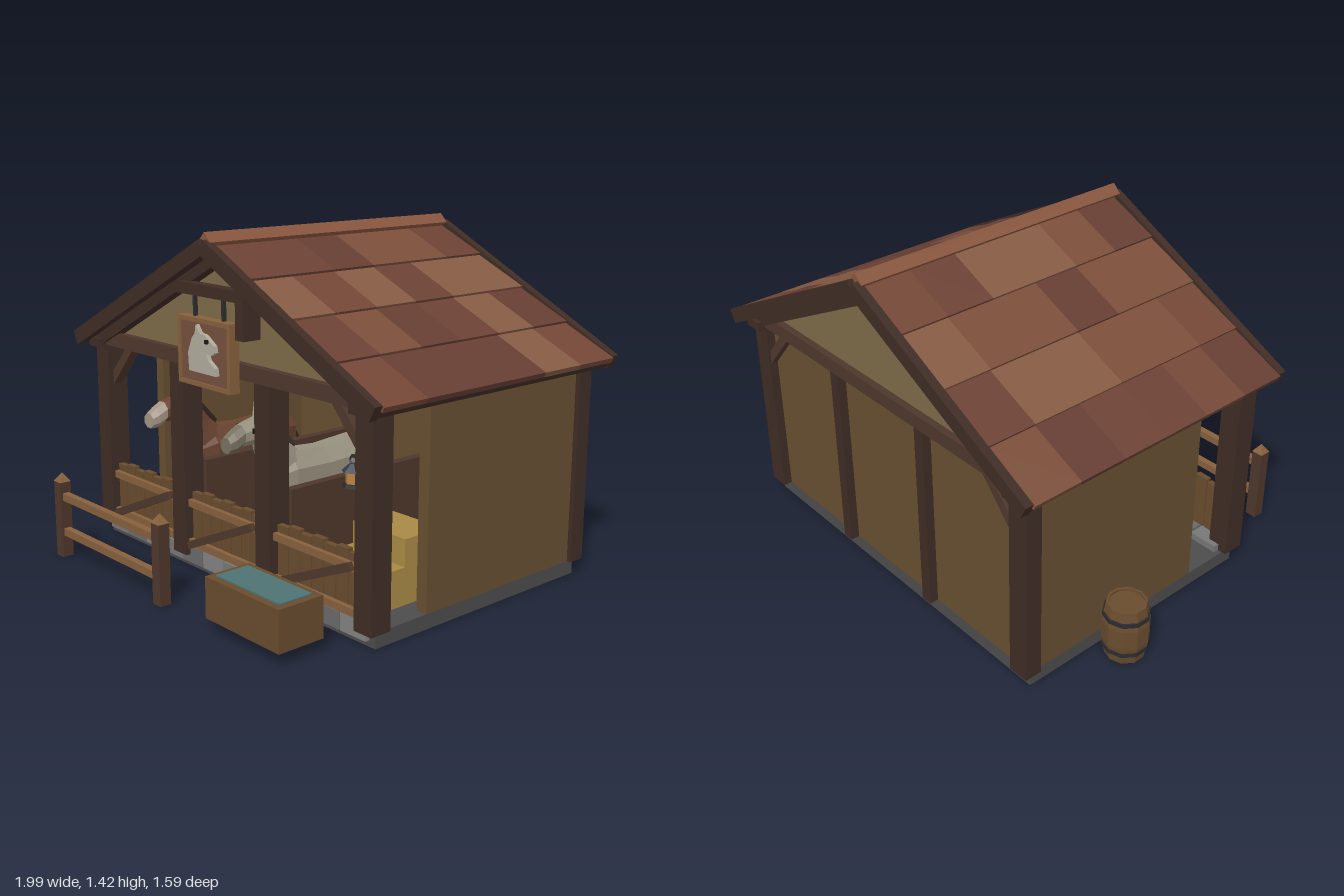
import * as THREE from 'three';

const C = { dark: 0x3f2c25, mid: 0x4e372b, wall: 0x674e31, gable: 0x7d6b49, plank: 0x694c2e, rail: 0x87603d,
  slab: 0x4c4c4c, iron: 0x2c2c30, hay: 0xa88a45 };
const mats = {};
const mat = c => (mats[c] ??= new THREE.MeshStandardMaterial({ color: c, flatShading: true, side: THREE.DoubleSide }));

function add(parent, name, geo, color) {
  const m = new THREE.Mesh(geo, mat(color));
  m.name = name;
  parent.add(m);
  return m;
}
// Box given by its lower and upper corner
function box(p, name, x0, x1, y0, y1, z0, z1, color) {
  const m = add(p, name, new THREE.BoxGeometry(x1 - x0, y1 - y0, z1 - z0), color);
  m.position.set((x0 + x1) / 2, (y0 + y1) / 2, (z0 + z1) / 2);
  return m;
}
// Slanted timber between two points of the xy plane
function bar(p, name, x0, y0, x1, y1, t, z0, z1, color) {
  const m = add(p, name, new THREE.BoxGeometry(Math.hypot(x1 - x0, y1 - y0), t, z1 - z0), color);
  m.position.set((x0 + x1) / 2, (y0 + y1) / 2, (z0 + z1) / 2);
  m.rotation.z = Math.atan2(y1 - y0, x1 - x0);
  return m;
}
function cyl(p, name, r0, r1, h, n, x, y, z, color) {
  const m = add(p, name, new THREE.CylinderGeometry(r0, r1, h, n), color);
  m.position.set(x, y, z);
  return m;
}
function extrude(p, name, pts, z0, depth, color) {
  const s = new THREE.Shape(pts.map(q => new THREE.Vector2(...q)));
  const m = add(p, name, new THREE.ExtrudeGeometry(s, { depth, bevelEnabled: false }), color);
  m.position.z = z0;
  return m;
}
// Skin over eight-sided rings [z, y, halfWidth, halfHeight, tilt] with closed ends
function loft(p, name, rings, color) {
  const n = 8, pos = [], idx = [];
  const all = [[...rings[0]], ...rings, [...rings.at(-1)]];
  for (const e of [all[0], all.at(-1)]) e[2] = e[3] = 0.0005;
  all.forEach(([z, y, rx, ry, tilt = 0], i) => {
    for (let k = 0; k < n; k++) {
      const a = (k + 0.5) / n * Math.PI * 2, v = Math.sin(a) * ry;
      pos.push(Math.cos(a) * rx, y + v * Math.cos(tilt), z - v * Math.sin(tilt));
      if (i) {
        const a0 = (i - 1) * n + k, b0 = (i - 1) * n + (k + 1) % n;
        idx.push(a0, b0, a0 + n, b0, b0 + n, a0 + n);
      }
    }
  });
  const g = new THREE.BufferGeometry();
  g.setAttribute('position', new THREE.Float32BufferAttribute(pos, 3));
  g.setIndex(idx);
  g.computeVertexNormals();
  return add(p, name, g, color);
}

function horse(x, coat, muzzle, mane) {
  const h = new THREE.Group();
  h.name = 'horse';
  h.position.x = x;
  loft(h, 'body', [[-0.34, 0.4, 0.06, 0.07], [-0.26, 0.4, 0.1, 0.11], [-0.05, 0.39, 0.095, 0.105],
    [0.14, 0.39, 0.1, 0.12], [0.24, 0.38, 0.07, 0.08]], coat);
  loft(h, 'neck', [[0.13, 0.4, 0.085, 0.11, 0.8], [0.2, 0.49, 0.065, 0.085, 0.9], [0.26, 0.61, 0.045, 0.055, 0.9]], coat);
  loft(h, 'head', [[0.23, 0.61, 0.045, 0.05], [0.29, 0.61, 0.057, 0.055], [0.37, 0.6, 0.046, 0.046]], coat);
  loft(h, 'muzzle', [[0.37, 0.6, 0.046, 0.046], [0.41, 0.58, 0.044, 0.045], [0.44, 0.57, 0.036, 0.034]], muzzle);
  loft(h, 'mane', [[0.245, 0.665, 0.014, 0.025, 0.8], [0.19, 0.59, 0.016, 0.035, 0.9], [0.1, 0.5, 0.014, 0.03, 0.7]], mane);
  loft(h, 'tail', [[-0.34, 0.44, 0.02, 0.02], [-0.38, 0.36, 0.03, 0.03, -1], [-0.38, 0.2, 0.015, 0.015, -1]], mane);
  for (const s of [-1, 1]) {
    cyl(h, 'ear', 0, 0.022, 0.09, 4, s * 0.036, 0.69, 0.26, coat).rotation.z = -s * 0.12;
    box(h, 'eye', s * 0.052 - 0.006, s * 0.052 + 0.006, 0.612, 0.632, 0.32, 0.34, 0x111111);
    for (const z of [0.14, -0.26]) {
      cyl(h, 'leg', 0.04, 0.025, 0.28, 6, s * 0.06, 0.23, z, coat);
      cyl(h, 'hoof', 0.028, 0.033, 0.04, 6, s * 0.06, 0.08, z, C.iron);
    }
  }
  return h;
}

function gate(p, x0, x1) {
  const g = new THREE.Group(), n = 7, w = (x1 - x0) / n;
  g.name = 'stallGate';
  p.add(g);
  for (let i = 0; i < n; i++)
    box(g, 'gatePlank', x0 + i * w + 0.003, x0 + (i + 1) * w - 0.003, 0.1, 0.33 + (i % 2) * 0.01, 0.42, 0.445, C.plank);
  for (const y of [0.1, 0.27]) box(g, 'gateRail', x0, x1, y, y + 0.03, 0.445, 0.465, C.rail);
  bar(g, 'gateBrace', x0 + 0.02, 0.11, x1 - 0.02, 0.295, 0.032, 0.465, 0.488, C.mid);
}

function building() {
  const b = new THREE.Group();
  b.name = 'stable';
  b.position.x = 0.043;
  // Plinth and kerb stones
  box(b, 'plinth', -0.85, 0.85, 0, 0.06, -0.69, 0.44, C.slab);
  for (let i = 0; i < 12; i++)
    box(b, 'kerbStone', -0.83 + i * 0.138, -0.698 + i * 0.138, 0.025, 0.09 + (i % 3) * 0.005, 0.36, 0.46, [0x777777, 0x6a6a6a, 0x828282][i % 3]);
  // Walls, stall partitions and posts
  box(b, 'backWall', -0.82, 0.82, 0.06, 0.9, -0.69, -0.65, C.wall);
  for (const s of [-1, 1]) {
    box(b, 'sideWall', s * 0.825 - 0.025, s * 0.825 + 0.025, 0.06, 0.88, -0.68, 0.18, C.wall);
    box(b, 'partition', s * 0.273 - 0.02, s * 0.273 + 0.02, 0.06, 0.44, -0.65, 0.35, C.mid);
    box(b, 'wallPlate', s * 0.825 - 0.045, s * 0.825 + 0.045, 0.86, 0.9, -0.76, 0.515, C.dark);
    for (const x of [0.825, 0.273]) {
      box(b, 'frontPost', s * x - 0.045, s * x + 0.045, 0.06, 0.88, 0.385, 0.48, C.dark);
      box(b, 'backPost', s * x - (x > 0.5 ? 0.045 : 0.025), s * x + (x > 0.5 ? 0.045 : 0.025), 0.06, 0.88, -0.728, -0.655, C.dark);
    }
    for (const z of [0.41, -0.72])
      bar(b, 'cornerBrace', s * 0.8, 0.7, s * 0.64, 0.88, 0.04, z, z + 0.045, C.mid);
  }
  for (const [x0, x1] of [[-0.78, -0.318], [-0.228, 0.228], [0.318, 0.78]]) gate(b, x0, x1);
  // Gable ends: tie beam, panel, rafters and barge boards
  for (const [beam, panel, rafter, barge] of [[0.4, 0.42, 0.44, 0.513], [-0.73, -0.7, -0.745, -0.795]]) {
    box(b, 'tieBeam', -0.86, 0.86, 0.87, 0.93, beam, beam + 0.085, C.mid);
    extrude(b, 'gablePanel', [[-0.76, 0.9], [0.76, 0.9], [0, 1.31]], panel, 0.03, C.gable);
    for (const s of [-1, 1]) {
      bar(b, 'rafter', 0, 1.31, s * 0.83, 0.885, 0.05, rafter, rafter + 0.06, C.dark);
      bar(b, 'bargeBoard', 0, 1.362, s * 0.93, 0.888, 0.062, barge, barge + 0.036, C.dark);
    }
  }
  return b;
}

function roof() {
  const r = new THREE.Group();
  r.name = 'roof';
  r.position.x = 0.043;
  const tones = [0x734737, 0x855a42, 0x663e33, 0x7b4f3b, 0x6c4235];
  let seed = 7;
  const rnd = () => (seed = (seed * 16807) % 2147483647) / 2147483647;
  for (const s of [-1, 1]) {
    bar(r, 'roofDeck', 0, 1.345, s * 0.925, 0.882, 0.03, -0.76, 0.515, C.dark);
    // Four overlapping courses of six tiles, each tipped up at its lower edge
    for (let i = 0; i < 4; i++) for (let j = 0; j < 6; j++) {
      const x0 = i * 0.235, x1 = x0 + 0.24, z = -0.758 + j * 0.2117;
      bar(r, 'roofTile', s * x0, 1.362 - x0 * 0.5, s * x1, 1.373 - x1 * 0.5, 0.022, z, z + 0.2117, tones[Math.floor(rnd() * 5)]);
    }
  }
  const cap = cyl(r, 'ridgeCap', 0.037, 0.037, 1.3, 4, 0, 1.38, -0.12, 0x8a573f);
  cap.rotation.x = Math.PI / 2;
  return r;
}

function sign() {
  const g = new THREE.Group();
  g.name = 'hangingSign';
  box(g, 'signBracket', -0.14, 0.25, 1.17, 1.215, 0.48, 0.53, C.dark);
  box(g, 'bracketPost', 0.225, 0.275, 1.03, 1.215, 0.45, 0.53, C.dark);
  for (const x of [-0.045, 0.135]) box(g, 'hangingRod', x - 0.006, x + 0.006, 1.08, 1.18, 0.505, 0.52, C.iron);
  box(g, 'signBoard', -0.11, 0.195, 0.83, 1.08, 0.5, 0.537, 0x75503d);
  for (const y of [0.82, 1.07]) box(g, 'signFrame', -0.122, 0.207, y, y + 0.018, 0.497, 0.543, C.rail);
  for (const x of [-0.122, 0.189]) box(g, 'signFrame', x, x + 0.018, 0.82, 1.088, 0.497, 0.543, C.rail);
  // Horse head relief
  extrude(g, 'horseRelief', [[-0.035, 0.88], [-0.04, 0.95], [-0.015, 1.01], [0.005, 1.03], [0.012, 1.065], [0.035, 1.035],
    [0.07, 1.03], [0.125, 0.995], [0.13, 0.97], [0.105, 0.955], [0.075, 0.96], [0.09, 0.935], [0.13, 0.91], [0.135, 0.88]], 0.537, 0.018, 0xb0ab9b);
  box(g, 'reliefEye', 0.077, 0.092, 1.0, 1.015, 0.55, 0.565, 0x1a1a1a);
  return g;
}

function yardItems(root) {
  // Hitching rail
  for (const x of [-0.67, 0.053]) {
    box(root, 'hitchPost', x - 0.025, x + 0.025, 0, 0.33, 0.745, 0.795, C.mid);
    cyl(root, 'postCap', 0, 0.037, 0.038, 4, x, 0.348, 0.77, C.rail).rotation.y = Math.PI / 4;
  }
  for (const y of [0.25, 0.095]) box(root, 'hitchRail', -0.69, 0.075, y, y + 0.032, 0.755, 0.785, C.rail);
  // Water trough
  box(root, 'troughFloor', 0.37, 0.785, 0.05, 0.08, 0.59, 0.795, C.plank);
  for (const z of [0.59, 0.767]) box(root, 'troughSide', 0.37, 0.785, 0.05, 0.213, z, z + 0.028, C.plank);
  for (const x of [0.37, 0.757]) box(root, 'troughEnd', x, x + 0.028, 0.05, 0.213, 0.59, 0.795, C.plank);
  box(root, 'water', 0.398, 0.757, 0.18, 0.219, 0.618, 0.767, 0x4f7272);
  // Barrel
  const pts = [[0, 0], [0.08, 0], [0.095, 0.08], [0.095, 0.165], [0.08, 0.245], [0.07, 0.245], [0.07, 0.235], [0, 0.235]];
  const barrel = add(root, 'barrel', new THREE.LatheGeometry(pts.map(q => new THREE.Vector2(...q)), 10), C.plank);
  barrel.position.set(-0.905, 0, -0.29);
  for (const y of [0.05, 0.195]) cyl(root, 'barrelHoop', 0.094, 0.094, 0.018, 10, -0.905, y, -0.29, C.iron);
  // Lantern
  const x = 0.797, z = 0.465;
  cyl(root, 'lanternBase', 0.034, 0.038, 0.014, 6, x, 0.592, z, C.iron);
  cyl(root, 'lanternGlass', 0.027, 0.027, 0.045, 6, x, 0.62, z, 0xb98342);
  cyl(root, 'lanternRoof', 0.012, 0.042, 0.028, 6, x, 0.656, z, 0x343a48);
  const ring = add(root, 'lanternRing', new THREE.TorusGeometry(0.016, 0.004, 4, 8), C.iron);
  ring.position.set(x, 0.68, z);
  box(root, 'lanternHook', x - 0.005, x + 0.04, 0.692, 0.702, z - 0.005, z + 0.005, C.iron);
  // Hay bales
  box(root, 'hayBale', 0.46, 0.78, 0.06, 0.21, 0.02, 0.26, C.hay);
  box(root, 'hayBale', 0.5, 0.78, 0.21, 0.32, -0.02, 0.18, C.hay);
  for (const sx of [0.55, 0.68]) box(root, 'baleTwine', sx, sx + 0.012, 0.06, 0.214, 0.016, 0.264, C.plank);
}

export function createModel() {
  const root = new THREE.Group();
  root.name = 'stableYard';
  root.add(building(), roof(), sign());
  root.add(horse(-0.495, 0x6b4432, 0xa39484, 0x33231d), horse(0.04, 0x96907e, 0x77715f, 0x3b302a));
  yardItems(root);
  return root;
}
